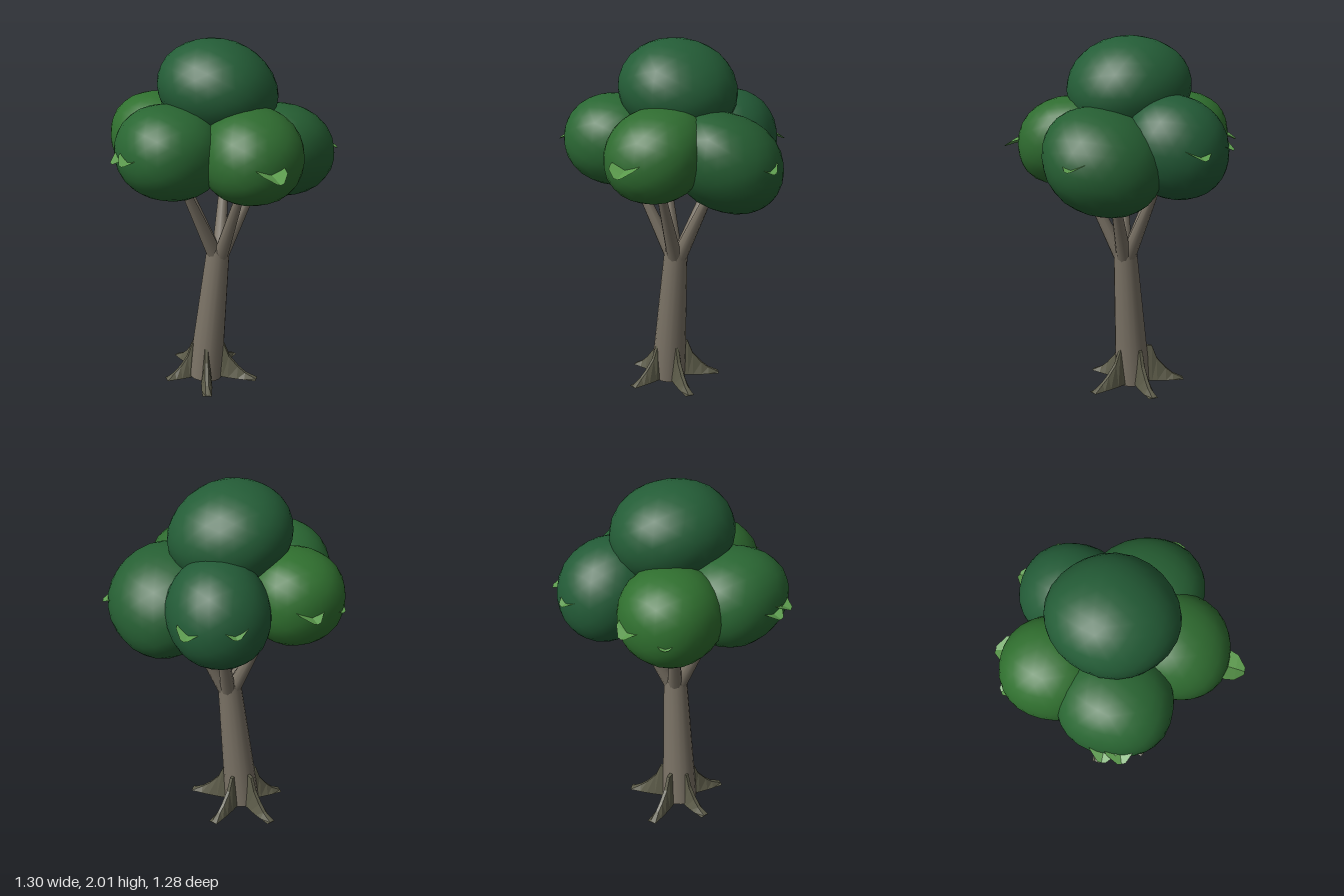
import * as THREE from 'three';
import { mergeVertices } from 'three/addons/utils/BufferGeometryUtils.js';

const V = (x, y, z) => new THREE.Vector3(x, y, z);
const paint = (color, extra = {}) => new THREE.MeshStandardMaterial({ color, ...extra });

function add(parent, name, geometry, material) {
  const mesh = new THREE.Mesh(geometry, material);
  mesh.name = name;
  parent.add(mesh);
  return mesh;
}

// Tapered limb from point a to point b
function limb(a, b, ra, rb, sides) {
  const dir = b.clone().sub(a);
  const g = new THREE.CylinderGeometry(rb, ra, dir.length(), sides, 1);
  g.applyQuaternion(new THREE.Quaternion().setFromUnitVectors(V(0, 1, 0), dir.normalize()));
  const mid = a.clone().add(b).multiplyScalar(0.5);
  return g.translate(mid.x, mid.y, mid.z);
}

// Soft foliage ball, sheared so it leans along x and z; boxiness 2 is an ellipsoid
function clumpGeometry([rx, ry, rz], [tiltX, tiltZ], boxiness, seed) {
  let g = new THREE.IcosahedronGeometry(1, 4);
  g.deleteAttribute('uv');
  g.deleteAttribute('normal');
  g = mergeVertices(g, 1e-4);
  const p = g.attributes.position;
  for (let i = 0; i < p.count; i++) {
    const v = V().fromBufferAttribute(p, i);
    const sum = Math.abs(v.x) ** boxiness + Math.abs(v.y) ** boxiness + Math.abs(v.z) ** boxiness;
    const lump = 1 + 0.015 * Math.sin(3 * v.x + seed) * Math.cos(3 * v.z + 2 * v.y + seed);
    v.multiplyScalar(lump / sum ** (1 / boxiness));
    const x = v.x * rx, z = v.z * rz;
    p.setXYZ(i, x, v.y * ry + tiltX * x + tiltZ * z, z);
  }
  g.computeVertexNormals();
  return g;
}

// Buttress root: ridge-shaped cross-sections running outward along +x
function rootGeometry(reach) {
  const sections = [ // distance, height, half width at ground
    [0.03, 0.22, 0.028], [0.1, 0.21, 0.03], [0.13, 0.13, 0.032],
    [0.18, 0.07, 0.032], [0.22, 0.035, 0.03], [0.28, 0.004, 0.026],
  ];
  const pos = [], index = [];
  sections.forEach(([d, h, w], i) => {
    const x = d * reach / 0.28;
    const crest = w * 0.3;
    pos.push(x, 0, w, x, h, crest, x, h, -crest, x, 0, -w);
    if (i === 0) return;
    const a = (i - 1) * 4, b = i * 4;
    for (let k = 0; k < 4; k++) {
      const n = (k + 1) % 4;
      index.push(a + k, b + k, b + n, a + k, b + n, a + n);
    }
  });
  const end = (sections.length - 1) * 4;
  index.push(end, end + 3, end + 2, end, end + 2, end + 1);
  const g = new THREE.BufferGeometry();
  g.setAttribute('position', new THREE.Float32BufferAttribute(pos, 3));
  g.setIndex(index);
  g.computeVertexNormals();
  return g;
}

// Folded, drooping leaf with its tip at the origin, pointing along +z
function leafGeometry() {
  const g = new THREE.PlaneGeometry(2, 1, 2, 4);
  const p = g.attributes.position;
  const widths = [0.02, 0.07, 0.082, 0.07, 0.03];
  for (let i = 0; i < p.count; i++) {
    const side = p.getX(i);
    const t = 0.5 - p.getY(i);
    const w = widths[Math.round(t * 4)];
    const fold = Math.abs(side) * w * 0.3;
    p.setXYZ(i, side * w, 0.035 * Math.sin(t * Math.PI * 0.6) + fold, -0.19 * t);
  }
  g.computeVertexNormals();
  return g;
}

export function createModel() {
  const tree = new THREE.Group();
  tree.name = 'tree';
  const bark = paint(0x7a7265);
  const rootBark = paint(0x5c5b49, { flatShading: true, side: THREE.DoubleSide });

  // Leaning trunk
  const base = V(-0.06, 0, -0.077), top = V(0.008, 0.82, -0.036);
  add(tree, 'trunk', limb(base, top, 0.102, 0.065, 16), bark);

  // Five buttress roots
  const roots = new THREE.Group();
  roots.name = 'roots';
  roots.position.set(-0.05, 0, -0.085);
  tree.add(roots);
  [0.31, 0.285, 0.25, 0.29, 0.29].forEach((reach, i) => {
    const root = add(roots, 'root', rootGeometry(reach), rootBark);
    root.rotation.y = -THREE.MathUtils.degToRad(45 + 72 * i);
  });

  // Branches fanning out into the crown
  const branches = new THREE.Group();
  branches.name = 'branches';
  tree.add(branches);
  const branchEnds = [
    [0.02, 1.28, 0.23], [0.26, 1.25, 0.01], [0.165, 1.25, -0.235],
    [-0.15, 1.27, -0.23], [-0.25, 1.27, 0.005],
  ];
  for (const end of branchEnds) {
    const tip = V(...end);
    const out = V(tip.x - top.x, 0, tip.z - top.z).normalize().multiplyScalar(0.022);
    const start = V(top.x, 0.77, top.z).add(out);
    add(branches, 'branch', limb(start, tip, 0.043, 0.02, 10), bark);
  }

  // Foliage clumps: name, centre, radii, lean, boxiness, colour
  const crown = new THREE.Group();
  crown.name = 'crown';
  tree.add(crown);
  const clumps = [
    ['frontClump', [0.032, 1.435, 0.27], [0.27, 0.244, 0.282], [0.06, -0.09], 2.2, 0x2f6c30],
    ['leftClump', [0.337, 1.375, 0.05], [0.302, 0.268, 0.315], [-0.15, 0.12], 2.15, 0x265f33],
    ['backLeftClump', [0.22, 1.435, -0.32], [0.26, 0.272, 0.282], [-0.05, 0.1], 2.1, 0x235b37],
    ['backRightClump', [-0.215, 1.435, -0.33], [0.262, 0.25, 0.264], [0, 0], 2.2, 0x30702f],
    ['rightClump', [-0.325, 1.44, 0.025], [0.278, 0.25, 0.297], [-0.02, 0], 2.2, 0x2a6733],
    ['topClump', [0.012, 1.725, -0.055], [0.324, 0.275, 0.337], [-0.09, -0.03], 1.98, 0x245d37],
  ];
  clumps.forEach(([name, centre, radii, lean, boxiness, color], i) => {
    const shape = clumpGeometry(radii, lean, boxiness, i * 1.7);
    add(crown, name, shape, paint(color)).position.set(...centre);
  });

  // Pale leaves poking out of the crown: tip position and heading in degrees
  const leaves = new THREE.Group();
  leaves.name = 'leaves';
  tree.add(leaves);
  const leafPaint = paint(0x5b9a4c, { flatShading: true, side: THREE.DoubleSide });
  const leafShape = leafGeometry();
  const tips = [
    [-0.015, 1.385, 0.64, 0], [0.645, 1.37, 0.19, 62], [0.485, 1.41, -0.48, 125],
    [0.27, 1.43, -0.62, 165], [-0.17, 1.42, -0.64, 182], [-0.38, 1.4, -0.56, 215],
    [-0.645, 1.42, 0.02, 270], [-0.635, 1.43, 0.12, 290],
  ];
  for (const [x, y, z, heading] of tips) {
    const leaf = add(leaves, 'leaf', leafShape, leafPaint);
    leaf.position.set(x, y, z);
    leaf.rotation.y = THREE.MathUtils.degToRad(heading);
  }
  return tree;
}
